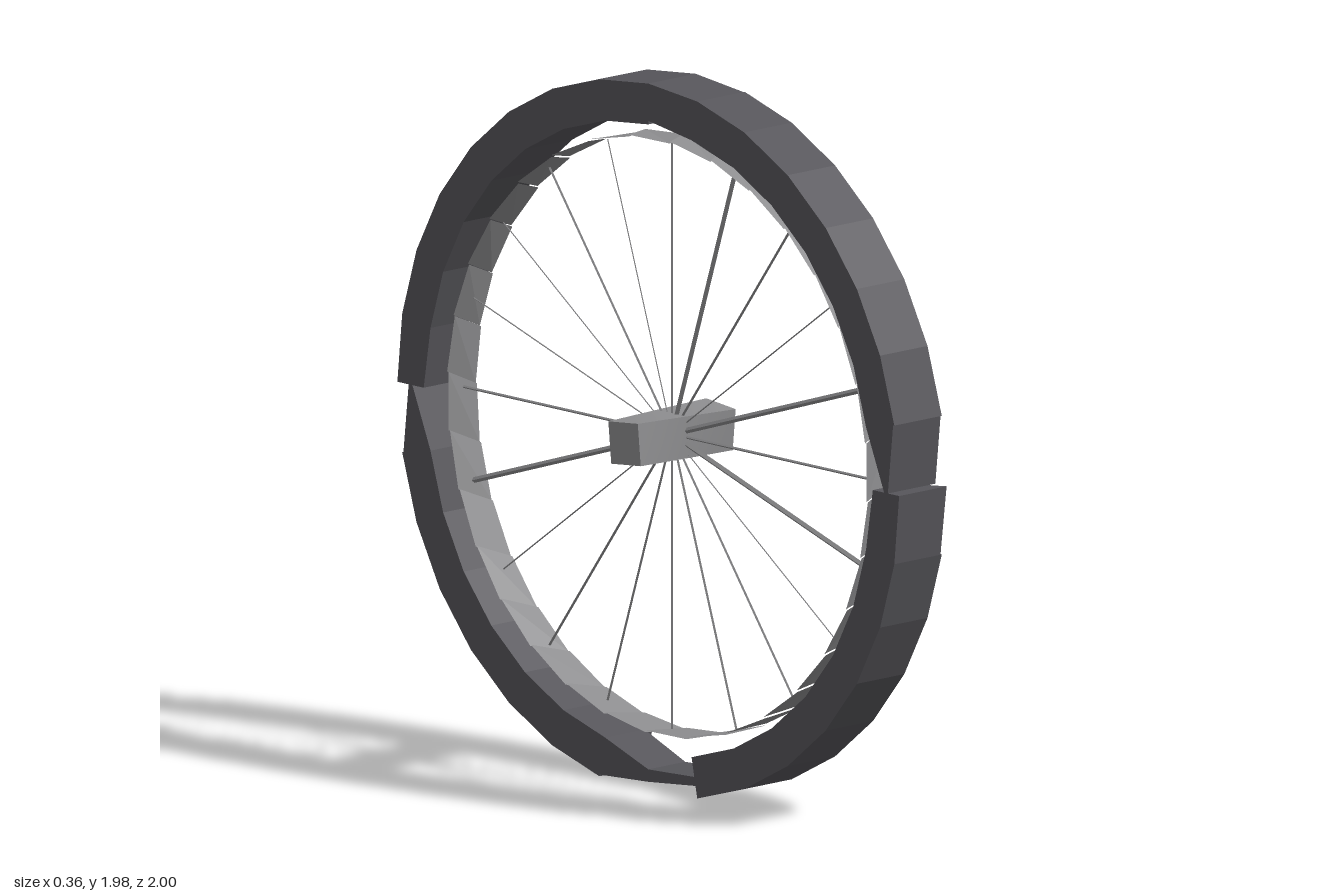
import * as THREE from 'three';

const CY = 0.98, STEP = Math.PI / 16, W = 0.09;
const rubber = new THREE.MeshStandardMaterial({ color: 0x57565b });
rubber.name = 'dark rubber';
const metal = new THREE.MeshStandardMaterial({ color: 0x8e8e90 });
metal.name = 'grey metal';
const rimMetal = new THREE.MeshStandardMaterial({ color: 0x8e8e90, side: THREE.DoubleSide });
rimMetal.name = 'grey rim metal';

// Point on the wheel: x along the axle, radius r, angle from the top towards +z
const polar = (x, r, a) => [x, r * Math.cos(a), r * Math.sin(a)];

function faceted(points, index) {
  const g = new THREE.BufferGeometry();
  g.setAttribute('position', new THREE.Float32BufferAttribute(points, 3));
  g.setIndex(index);
  const flat = g.toNonIndexed();
  flat.computeVertexNormals();
  return flat;
}

// Closed solid through four-cornered sections along the wheel
function sweep(sections) {
  const points = [], index = [];
  for (const { k, out = 1, inn = 0.885, xOut = W, xIn = W } of sections) {
    const a = k * STEP;
    points.push(...polar(xOut, out, a), ...polar(xIn, inn, a), ...polar(-W, inn, a), ...polar(-W, out, a));
  }
  const last = (sections.length - 1) * 4;
  for (let s = 0; s < last; s += 4) {
    for (let j = 0; j < 4; j++) {
      const n = (j + 1) % 4;
      index.push(s + j, s + 4 + j, s + 4 + n, s + j, s + 4 + n, s + n);
    }
  }
  index.push(0, 1, 2, 0, 2, 3, last, last + 2, last + 1, last, last + 3, last + 2);
  return faceted(points, index);
}

export function createModel() {
  const model = new THREE.Group();
  model.name = 'spokedWheel';
  const wheel = new THREE.Group();
  wheel.name = 'wheel';
  wheel.position.y = CY;
  model.add(wheel);
  const add = (name, geometry, material) => {
    const mesh = new THREE.Mesh(geometry, material);
    mesh.name = name;
    wheel.add(mesh);
    return mesh;
  };

  // Four long tyre arcs
  for (const [from, to] of [[1, 7], [9, 15], [17, 23], [25, 32]]) {
    const sections = [];
    for (let k = from; k <= to; k++) sections.push({ k });
    add('tyreArc', sweep(sections), rubber);
  }
  // Joint blocks with a bevelled inner side
  for (const k of [0, 8, 24]) {
    add('tyreJointBlock', sweep([{ k, inn: 0.895, xIn: 0.03 }, { k: k + 1, xOut: 0.085, xIn: 0.05 }]), rubber);
  }
  // Pinched joints beside the blocks
  for (const k of [7, 23]) {
    add('tyrePinchedJoint', sweep([{ k, out: 0.995 }, { k: k + 1, out: 0.955, inn: 0.94 }]), rubber);
  }
  add('tyreLowerJoint', sweep([
    { k: 15, out: 0.965, inn: 0.94, xIn: 0.05 },
    { k: 16, out: 0.965, inn: 0.93, xIn: 0.05 },
    { k: 17, out: 0.995, xIn: 0.06 },
  ]), rubber);

  // Thin rim whose two edges are half a facet out of step
  const N = 32, points = [], index = [];
  for (let i = 0; i < N; i++) {
    const a = (i / N) * Math.PI * 2, h = Math.PI / N;
    const v = points.length / 3;
    points.push(...polar(0.055, 0.84, a), ...polar(0.055, 0.835, a + 2 * h),
      ...polar(-0.055, 0.835, a + 2.6 * h), ...polar(-0.055, 0.84, a + 0.6 * h));
    index.push(v, v + 1, v + 2, v, v + 2, v + 3);
  }
  add('rim', faceted(points, index), rimMetal);

  // Twenty spokes of uneven thickness
  const thick = [1, 4, 6, 14], faint = [3, 7, 13, 16, 17, 19];
  for (let i = 0; i < 20; i++) {
    const r = thick.includes(i) ? 0.008 : faint.includes(i) ? 0.002 : 0.004;
    const g = new THREE.CylinderGeometry(r, r, 0.8, 4).toNonIndexed();
    g.computeVertexNormals();
    g.translate(0, 0.43, 0);
    add('spoke', g, metal).rotation.x = (i / 20) * Math.PI * 2;
  }

  // Square hub with a slight twist along the axle
  const hub = new THREE.BoxGeometry(0.36, 0.118, 0.118, 4, 1, 1);
  const p = hub.attributes.position;
  for (let i = 0; i < p.count; i++) {
    const t = p.getX(i) * 0.55, y = p.getY(i), z = p.getZ(i);
    p.setY(i, y * Math.cos(t) - z * Math.sin(t));
    p.setZ(i, y * Math.sin(t) + z * Math.cos(t));
  }
  hub.computeVertexNormals();
  add('hub', hub, metal);
  return model;
}
